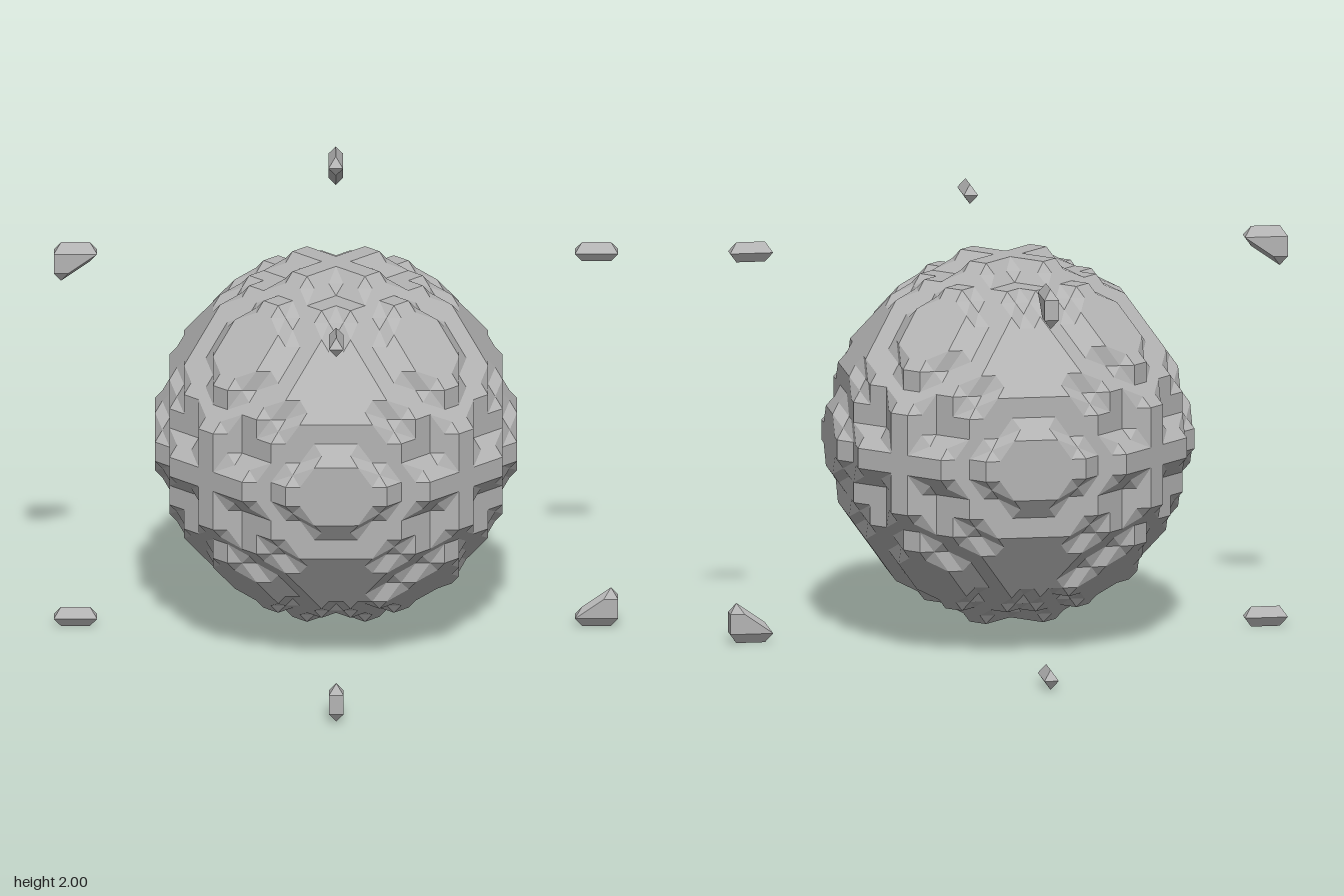
import * as THREE from 'three';
import { ConvexGeometry } from 'three/addons/geometries/ConvexGeometry.js';

// Lattice points are odd integers; one lattice unit is 0.05.
const UNIT = 0.05;

// Which lattice points are solid: a ball with plus-shaped caps on the six axes.
function solid(x, y, z) {
  const [a, b, c] = [x, y, z].map(Math.abs).sort((p, q) => p - q);
  if (c === 17) return a === 1 && b <= 5;
  // bumps around the underside
  if (y === -13 && Math.abs(x) === 5 && Math.abs(z) === 11) return true;
  return a * a + b * b + c * c <= 311;
}

// The four corners of each cube face, counter-clockwise from outside.
const FACES = [];
for (let a = 0; a < 3; a++) {
  for (const side of [0, 1]) {
    const ring = [[0, 0], [1, 0], [1, 1], [0, 1]].map(([u, v]) => {
      const p = [0, 0, 0];
      p[a] = side * 2;
      p[(a + 1) % 3] = u * 2;
      p[(a + 2) % 3] = v * 2;
      return p;
    });
    FACES.push(side ? ring : ring.reverse());
  }
}

// Fan of a loop that gives the smallest area.
function fan(loop) {
  let best = null, bestArea = Infinity;
  const t = new THREE.Triangle();
  for (let s = 0; s < loop.length; s++) {
    const r = [...loop.slice(s), ...loop.slice(0, s)];
    const tris = [];
    let area = 0;
    for (let i = 1; i < r.length - 1; i++) {
      tris.push(r[0], r[i], r[i + 1]);
      area += t.set(r[0], r[i], r[i + 1]).getArea();
    }
    if (area < bestArea - 1e-9) { best = tris; bestArea = area; }
  }
  return best;
}

// Surface of one lattice cell: link edge midpoints face by face into loops.
function cellTriangles(x, y, z, out) {
  const next = new Map(), points = new Map();
  for (const face of FACES) {
    const corners = face.map(p => [x + p[0], y + p[1], z + p[2]]);
    const on = corners.map(p => solid(...p));
    const mid = i => {
      const p = corners[i], q = corners[(i + 1) % 4];
      const m = p.map((v, k) => (v + q[k]) / 2);
      const key = m.join();
      points.set(key, new THREE.Vector3(...m));
      return key;
    };
    for (let i = 0; i < 4; i++) {
      if (on[i] || !on[(i + 1) % 4]) continue;
      let j = (i + 1) % 4;
      while (on[(j + 1) % 4]) j = (j + 1) % 4;
      next.set(mid(i), mid(j));
    }
  }
  while (next.size) {
    const loop = [];
    let key = next.keys().next().value;
    while (next.has(key)) {
      loop.push(points.get(key));
      const following = next.get(key);
      next.delete(key);
      key = following;
    }
    if (loop.length > 2) out.push(...fan(loop));
  }
}

function ballGeometry() {
  const out = [];
  for (let x = -19; x < 19; x += 2)
    for (let y = -19; y < 19; y += 2)
      for (let z = -19; z < 19; z += 2) cellTriangles(x, y, z, out);
  const geometry = new THREE.BufferGeometry().setFromPoints(out);
  geometry.computeVertexNormals();
  return geometry.scale(UNIT, UNIT, UNIT);
}

// Small faceted fragment: hull of an octahedron placed at each centre.
function fragmentGeometry(centres) {
  const points = [];
  for (const c of centres)
    for (let a = 0; a < 3; a++)
      for (const d of [-1, 1]) {
        const p = [...c];
        p[a] += d;
        points.push(new THREE.Vector3(...p).multiplyScalar(UNIT));
      }
  return new ConvexGeometry(points);
}

export function createModel() {
  const stone = new THREE.MeshStandardMaterial({ color: 0xb4b4b4 });
  stone.name = 'grey stone';

  const group = new THREE.Group();
  group.name = 'facetedPlanet';

  const ball = new THREE.Mesh(ballGeometry(), stone);
  ball.name = 'planetBody';
  ball.position.y = 1;
  group.add(ball);

  // Eight floating fragments: flat bars on two edges, wedges on the others.
  for (const sx of [-1, 1])
    for (const sy of [-1, 1])
      for (const sz of [-1, 1]) {
        const centres = [[19, 19, 19], [17, 19, 17]];
        if (sy !== sz) centres.push([19, 17, 19]);
        const mirrored = centres.map(([x, y, z]) => [x * sx, y * sy, z * sz]);
        const fragment = new THREE.Mesh(fragmentGeometry(mirrored), stone);
        fragment.name = sy === sz ? 'barFragment' : 'wedgeFragment';
        fragment.position.y = 1;
        group.add(fragment);
      }

  return group;
}
